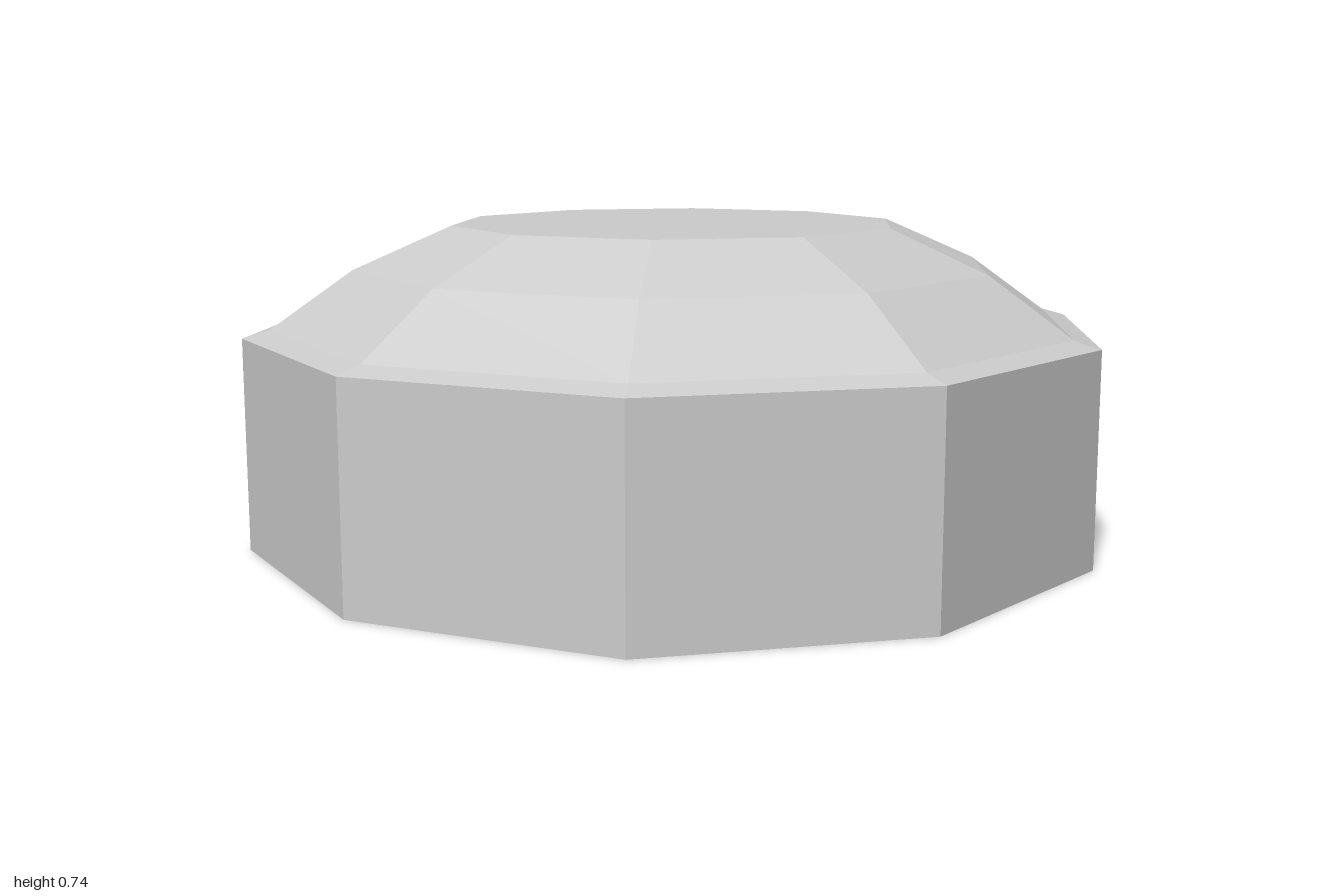
import * as THREE from 'three';

const SIDES = 10;
const STEP = (Math.PI * 2) / SIDES;
const WALL_H = 0.49;

export function createModel() {
  const group = new THREE.Group();
  const shellGrey = new THREE.MeshStandardMaterial({ color: 0xcccccc, flatShading: true, side: THREE.DoubleSide });
  shellGrey.name = 'shellGrey';

  const add = (name, geometry) => {
    const mesh = new THREE.Mesh(geometry, shellGrey);
    mesh.name = name;
    group.add(mesh);
    return mesh;
  };
  const ring = (profile, segments, start) => new THREE.LatheGeometry(
    profile.map(([r, y]) => new THREE.Vector2(r, y)), segments, start, segments * STEP);

  // Nine plain wall panels, leaving the back side open
  add('walls', ring([[1, 0], [1, WALL_H]], SIDES - 1, Math.PI + STEP / 2));

  // Back panel with an arched doorway cut up from the ground
  const half = Math.sin(STEP / 2);
  const door = [[0.218, 0], [0.218, 0.155], [0.18, 0.32], [0, 0.43], [-0.18, 0.32], [-0.218, 0.155], [-0.218, 0]];
  const outline = [[half, 0], [half, WALL_H], [-half, WALL_H], [-half, 0], ...door.reverse()];
  const panel = new THREE.Shape(outline.map(([x, y]) => new THREE.Vector2(x, y)));
  const doorWall = add('doorWall', new THREE.ShapeGeometry(panel));
  doorWall.rotation.y = Math.PI;
  doorWall.position.z = -Math.cos(STEP / 2);

  // Faceted roof: shallow eave, two sloping bands and a flat top
  add('roof', ring([[1, WALL_H], [0.94, 0.507], [0.75, 0.64], [0.525, 0.737]], SIDES, STEP / 2));
  const top = add('roofTop', new THREE.CircleGeometry(0.525, SIDES));
  top.rotation.x = -Math.PI / 2;
  top.position.y = 0.737;

  return group;
}
